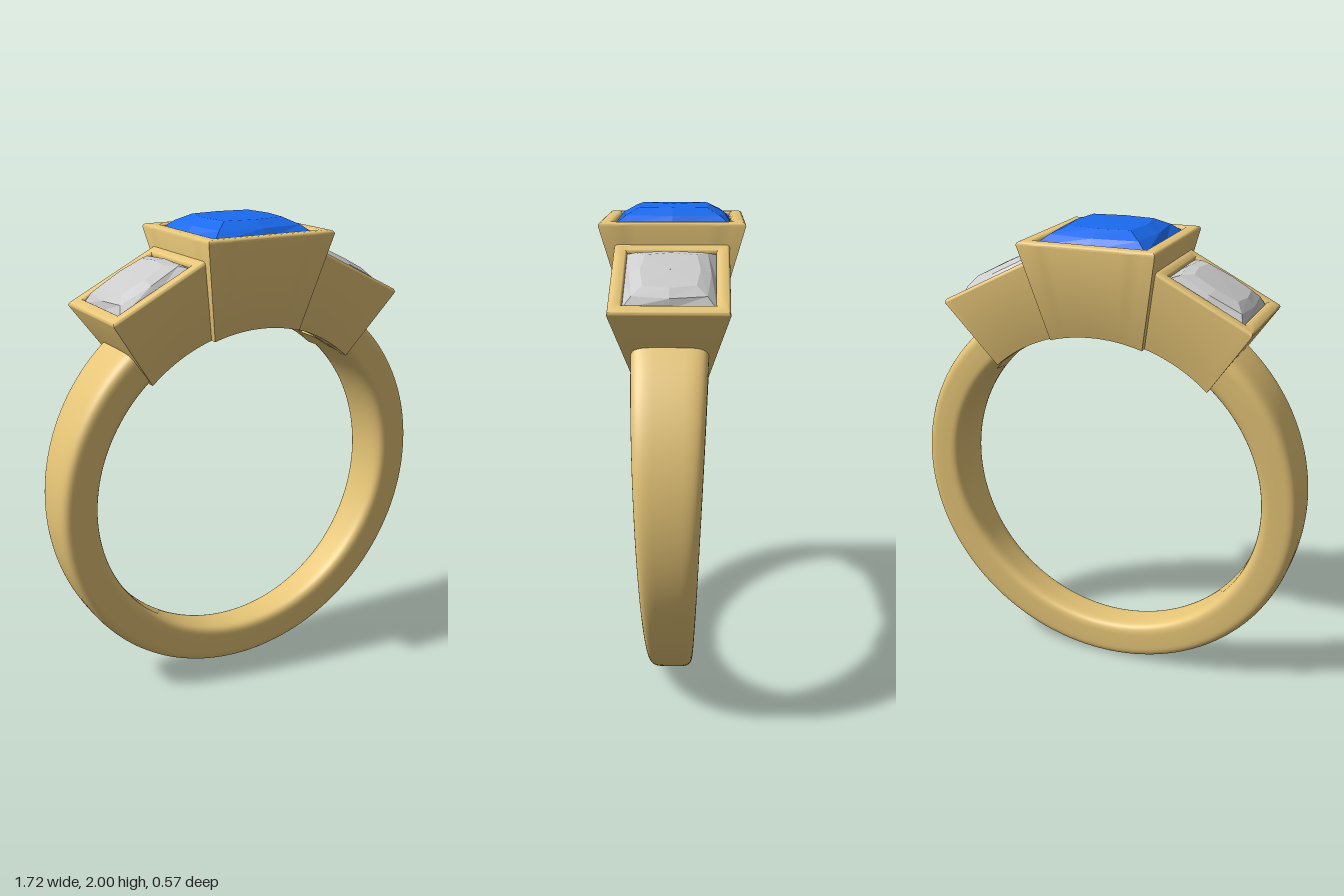
import * as THREE from 'three';
import { toCreasedNormals } from 'three/addons/utils/BufferGeometryUtils.js';

const RING_Y = 0.865, INNER_R = 0.695, OUTER_R = 0.86;
const gold = new THREE.MeshStandardMaterial({ color: 0xe6c577 });
const blue = new THREE.MeshStandardMaterial({ color: 0x1a6bf0, flatShading: true });
const clear = new THREE.MeshStandardMaterial({ color: 0xcccccc, flatShading: true });

// Join equal-length closed loops of [x, y, z] into a surface.
function skin(loops, closed = false) {
  const n = loops[0].length, m = loops.length, index = [];
  for (let j = 0; j < (closed ? m : m - 1); j++) {
    for (let i = 0; i < n; i++) {
      const a = j * n + i, b = j * n + (i + 1) % n;
      const c = ((j + 1) % m) * n + i, d = ((j + 1) % m) * n + (i + 1) % n;
      index.push(a, c, b, b, c, d);
    }
  }
  const geo = new THREE.BufferGeometry();
  geo.setAttribute('position', new THREE.Float32BufferAttribute(loops.flat(2), 3));
  geo.setIndex(index);
  geo.computeVertexNormals();
  return geo;
}

// Rectangular loop with n steps per side; bulge pushes the middle of each side out.
function rectLoop(hx, hz, height, n, bulge = 0) {
  const corners = [[1, 1], [-1, 1], [-1, -1], [1, -1]], pts = [];
  corners.forEach(([x0, z0], k) => {
    const [x1, z1] = corners[(k + 1) % 4];
    for (let i = 0; i < n; i++) {
      const t = i / n, out = 1 + bulge * (1 - Math.abs(2 * t - 1));
      const x = (x0 + (x1 - x0) * t) * hx * (x0 === x1 ? out : 1);
      const z = (z0 + (z1 - z0) * t) * hz * (z0 === z1 ? out : 1);
      pts.push([x, typeof height === 'function' ? height(x) : height, z]);
    }
  });
  return pts;
}

// Band that widens towards the settings.
function makeBand() {
  const loops = [], start = 129, end = 411, steps = 120, n = 48, e = 2 / 4.5;
  const soft = v => Math.sign(v) * Math.abs(v) ** e;
  for (let j = 0; j <= steps; j++) {
    const a = THREE.MathUtils.degToRad(start + (end - start) * j / steps);
    const half = 0.121 + 0.036 * Math.sin(a);
    loops.push(Array.from({ length: n }, (_, i) => {
      const s = i / n * Math.PI * 2;
      const r = (INNER_R + OUTER_R) / 2 + (OUTER_R - INNER_R) / 2 * soft(Math.cos(s));
      return [r * Math.cos(a), r * Math.sin(a), half * soft(Math.sin(s))];
    }));
  }
  const band = new THREE.Mesh(skin(loops), gold);
  band.name = 'band';
  return band;
}

// Tapered box setting: rounded rim, seat for the stone, curved underside with a window.
function makeSetting({ top, rim, open, bottomX, bottomZ, hole }) {
  const n = 12, b = 0.014;
  const finger = x => Math.sqrt(INNER_R ** 2 - x * x);
  const loops = [rectLoop(hole, hole, finger, n), rectLoop(bottomX, bottomZ, finger, n)];
  for (let k = 0; k <= 4; k++) {
    const a = k / 4 * Math.PI / 2, h = rim - b + b * Math.cos(a);
    loops.push(rectLoop(h, h, top - b + b * Math.sin(a), n));
  }
  for (let k = 0; k <= 4; k++) {
    const a = k / 4 * Math.PI / 2, h = open + b - b * Math.sin(a);
    loops.push(rectLoop(h, h, top - b + b * Math.cos(a), n));
  }
  loops.push(rectLoop(open, open, top - 0.06, n));
  loops.push(rectLoop(hole, hole, INNER_R + 0.06, n));
  const mesh = new THREE.Mesh(toCreasedNormals(skin(loops, true), 0.6), gold);
  mesh.name = 'setting';
  return mesh;
}

// Square cut stone: pointed underside, girdle, two crown steps and a nearly flat table.
function makeStone({ top, open, rise }, material) {
  const g = open + 0.003;
  const rows = [
    [0.001, top - open * 0.95, 0], [g * 0.6, top - open * 0.55, 0],
    [g, top - 0.035, 0], [g, top - 0.02, 0],
    [g * 0.8, top + rise * 0.35, 0.1], [g * 0.57, top + rise * 0.92, 0.14],
    [0.001, top + rise, 0],
  ];
  const mesh = new THREE.Mesh(skin(rows.map(([h, y, bulge]) => rectLoop(h, h, y, 2, bulge))), material);
  mesh.name = 'stone';
  return mesh;
}

export function createModel() {
  const model = new THREE.Group();
  model.name = 'ring';
  const ring = new THREE.Group();
  ring.name = 'bandAndSettings';
  ring.position.y = RING_Y;
  model.add(ring);
  ring.add(makeBand());

  const centre = { top: 1.085, rim: 0.286, open: 0.23, bottomX: 0.2, bottomZ: 0.175, hole: 0.1, rise: 0.05 };
  const side = { top: 1.012, rim: 0.225, open: 0.172, bottomX: 0.18, bottomZ: 0.146, hole: 0.06, rise: 0.033 };

  // One large setting on top and a smaller one tilted to each side.
  [['centre', centre, 0, blue], ['left', side, -27, clear], ['right', side, 27, clear]]
    .forEach(([name, spec, tilt, material]) => {
      const head = new THREE.Group();
      head.name = name + 'Head';
      head.rotation.z = THREE.MathUtils.degToRad(tilt);
      head.add(makeSetting(spec), makeStone(spec, material));
      ring.add(head);
    });
  return model;
}
